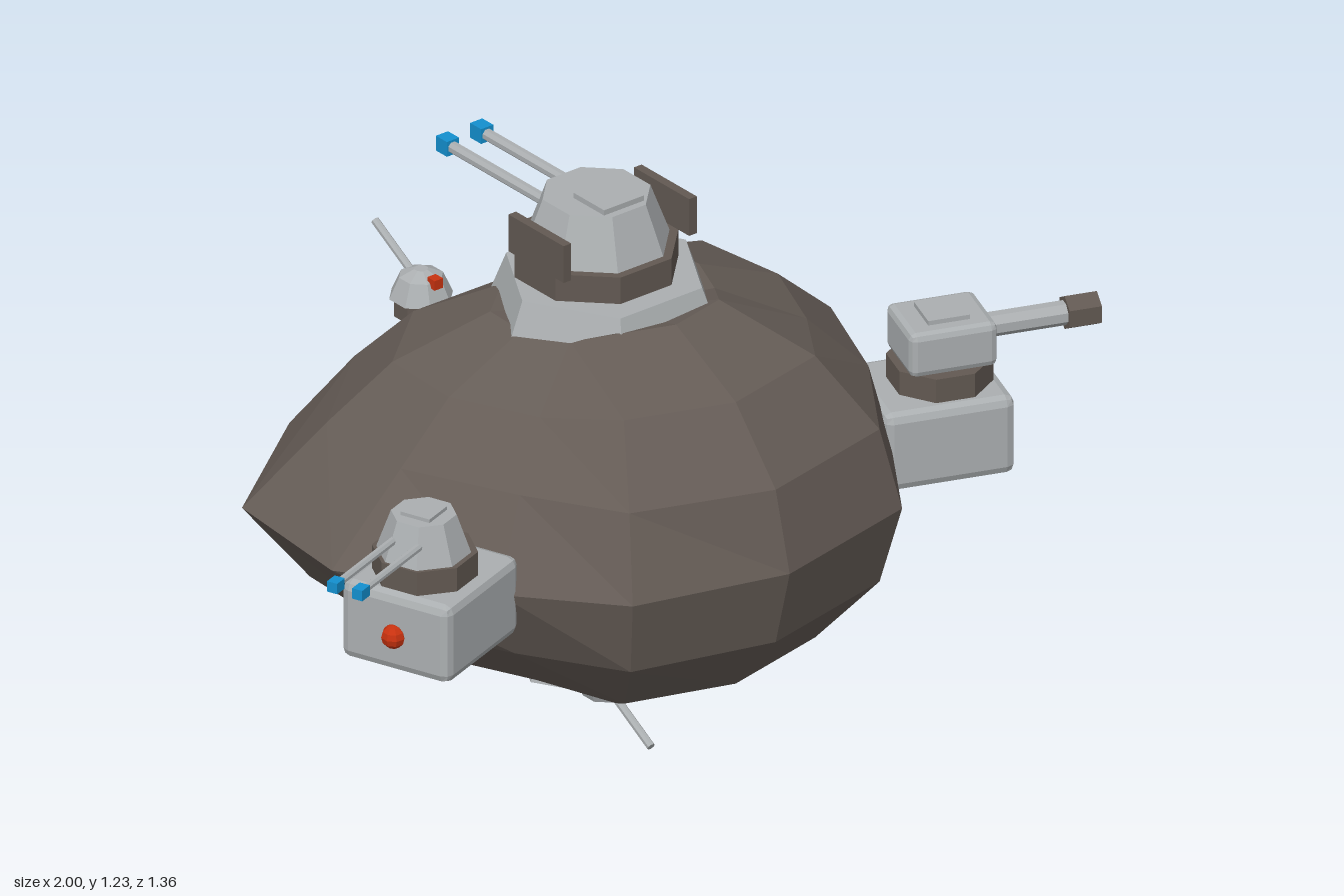
import * as THREE from 'three';
import { RoundedBoxGeometry } from 'three/addons/geometries/RoundedBoxGeometry.js';

const paint = (name, color) => {
  const m = new THREE.MeshStandardMaterial({ color });
  m.name = name;
  return m;
};

export function createModel() {
  const rock = paint('brown rock', 0x655c56);
  const dark = paint('dark brown metal', 0x625952);
  const grey = paint('light grey metal', 0xabafb1);
  const blue = paint('blue', 0x1390cf);
  const red = paint('red', 0xc8320f);

  const root = new THREE.Group();
  root.name = 'asteroidStation';

  // Faceted mesh helpers
  const add = (parent, name, geo, mat, x = 0, y = 0, z = 0) => {
    const g = geo.index ? geo.toNonIndexed() : geo;
    g.computeVertexNormals();
    const mesh = new THREE.Mesh(g, mat);
    mesh.name = name;
    mesh.position.set(x, y, z);
    parent.add(mesh);
    return mesh;
  };
  const group = (name, x, y, z, turn = 0) => {
    const g = new THREE.Group();
    g.name = name;
    g.position.set(x, y, z);
    g.rotation.y = turn;
    root.add(g);
    return g;
  };
  const box = (w, h, d) => new THREE.BoxGeometry(w, h, d);
  const prism = (top, bottom, h, sides, start = Math.PI / sides) =>
    new THREE.CylinderGeometry(top, bottom, h, sides, 1, false, start);
  const rodX = (r, len, sides = 8) => prism(r, r, len, sides).rotateZ(-Math.PI / 2);
  const ball = (r) => new THREE.SphereGeometry(r, 8, 6);

  // Rock: squashed sphere; per column the widest x and z,
  // then the swell above, just below and well below the middle
  const columns = [
    [0, 0.6, 1, 1, 1],
    [0.36, 0.52, 1, 1, 1],
    [0.53, 0.27, 1, 1, 1],
    [0.66, 0, 0.97, 1.08, 0.96],
    [0.56, -0.28, 1.07, 1.08, 0.98],
    [0.31, -0.47, 0.96, 1, 0.9],
    [0, -0.52, 0.92, 0.97, 0.82],
    [-0.38, -0.56, 0.86, 1, 0.78],
    [-0.69, -0.33, 0.83, 0.88, 0.85],
    [-0.72, 0, 0.81, 0.86, 0.84],
    [-0.52, 0.3, 0.88, 0.93, 0.92],
    [-0.34, 0.51, 0.95, 1, 0.97],
  ];
  const rockGeo = new THREE.SphereGeometry(1, 12, 8);
  const p = rockGeo.attributes.position;
  for (let i = 0; i < p.count; i++) {
    const x = p.getX(i), y = p.getY(i), z = p.getZ(i);
    const index = (Math.round(Math.atan2(x, z) / (Math.PI / 6)) + 12) % 12;
    const [cx, cz, upper, lower, base] = columns[index];
    const swell = y > 0.1 ? upper : y > -0.1 ? 1 : y > -0.5 ? lower : base;
    const s = Math.hypot(x, z) * swell;
    // The front is tallest; sides and back are flatter, the poles sunk in
    const flat = Math.abs(y) > 0.99 ? 0.8 : Math.abs(y) > 0.6 && cz < 0.4 ? 0.92 : 1;
    p.setXYZ(i, cx * s, 0.6 + 0.46 * y * flat, cz * s);
  }
  add(root, 'rockBody', rockGeo, rock, -0.01, 0, 0.08);

  // Top turret, guns facing the back
  const top = group('topTurret', -0.01, 0, 0.05);
  add(top, 'topBasePlate', prism(0.215, 0.248, 0.085, 6, Math.PI / 2), grey, 0, 1.012, 0.025);
  add(top, 'topCollar', prism(0.175, 0.175, 0.065, 8), dark, 0, 1.083, 0);
  add(top, 'topDome', prism(0.115, 0.156, 0.11, 8), grey, 0, 1.17, 0);
  add(top, 'topHatch', box(0.105, 0.02, 0.1), grey, 0, 1.227, 0.04);
  for (const side of [-1, 1]) {
    add(top, 'sideShield', box(0.02, 0.085, 0.18), dark, side * 0.165, 1.16, 0.02);
    add(top, 'topBarrel', rodX(0.013, 0.34).rotateY(Math.PI / 2), grey, side * 0.045, 1.175, -0.25);
    add(top, 'topBarrelTip', box(0.032, 0.034, 0.036), blue, side * 0.045, 1.175, -0.43);
  }

  // Side turrets, built pointing along local +x
  const tilt = Math.PI / 9;
  const sideBase = (g, lamp) => {
    add(g, 'sideBase', new RoundedBoxGeometry(0.285, 0.178, 0.26, 1, 0.02), grey, 0, 0.595, 0);
    add(g, 'sideLamp', ball(0.026), lamp, 0.145, 0.59, 0);
    add(g, 'sideCollar', prism(0.11, 0.11, 0.06, 8), dark, 0.02, 0.708, 0);
  };

  // Left: square head with one heavy cannon
  const cannon = group('leftCannonTurret', 0.65, 0, 0.32, -tilt);
  sideBase(cannon, blue);
  add(cannon, 'cannonHead', new RoundedBoxGeometry(0.19, 0.1, 0.165, 1, 0.015), grey, 0.025, 0.785, 0);
  add(cannon, 'cannonHatch', box(0.09, 0.02, 0.09), grey, 0.025, 0.835, 0);
  add(cannon, 'cannonBarrel', rodX(0.026, 0.2), grey, 0.2, 0.79, 0);
  add(cannon, 'cannonMuzzle', rodX(0.038, 0.07, 6), dark, 0.325, 0.79, 0);

  // Right: domed head with twin guns
  const twin = group('rightTwinTurret', -0.665, 0, 0.32, Math.PI + tilt);
  sideBase(twin, red);
  add(twin, 'twinDome', prism(0.068, 0.1, 0.09, 8), grey, 0.025, 0.778, 0);
  add(twin, 'twinHatch', box(0.07, 0.016, 0.07), grey, 0.025, 0.823, 0);
  for (const side of [-1, 1]) {
    add(twin, 'twinBarrel', rodX(0.009, 0.24), grey, 0.19, 0.781, side * 0.03);
    add(twin, 'twinBarrelTip', box(0.03, 0.024, 0.024), blue, 0.323, 0.781, side * 0.03);
  }

  // Curved rail round the back
  const a0 = 31 * Math.PI / 180, a1 = 123 * Math.PI / 180;
  const arc = new THREE.Shape();
  arc.absarc(0, 0, 0.605, a0, a1, false);
  arc.absarc(0, 0, 0.57, a1, a0, true);
  arc.closePath();
  const railGeo = new THREE.ExtrudeGeometry(arc, { depth: 0.07, bevelEnabled: false, curveSegments: 12 });
  add(root, 'backRail', railGeo.rotateX(-Math.PI / 2), grey, -0.01, 0.595, 0.08);

  // Small sensor turrets: one behind, one hanging upside down below
  const domeProfile = [[0, 0.038], [0.068, 0.038], [0.047, 0.085], [0.015, 0.1], [0, 0.1]]
    .map(([r, y]) => new THREE.Vector2(r, y));
  const sensor = (name, y, z, flipped) => {
    const g = group(name, -0.01, y, z);
    if (flipped) g.rotation.x = Math.PI;
    add(g, 'sensorCollar', prism(0.058, 0.058, 0.045, 8), dark, 0, 0.02, 0);
    add(g, 'sensorDome', new THREE.LatheGeometry(domeProfile, 8, Math.PI / 8), grey);
    add(g, 'sensorLamp', box(0.022, 0.022, 0.024), red, 0, 0.086, 0.046);
    const rod = add(g, 'sensorBarrel', prism(0.009, 0.009, 0.15, 8), grey, 0, 0.112, -0.085);
    rod.rotation.x = -Math.PI / 3;
  };
  sensor('backSensor', 0.715, -0.522, false);
  sensor('bottomSensor', 0.165, 0.078, true);
  add(root, 'bottomBasePlate', prism(0.17, 0.193, 0.08, 6, Math.PI / 2), grey, -0.01, 0.206, 0.075);

  return root;
}
